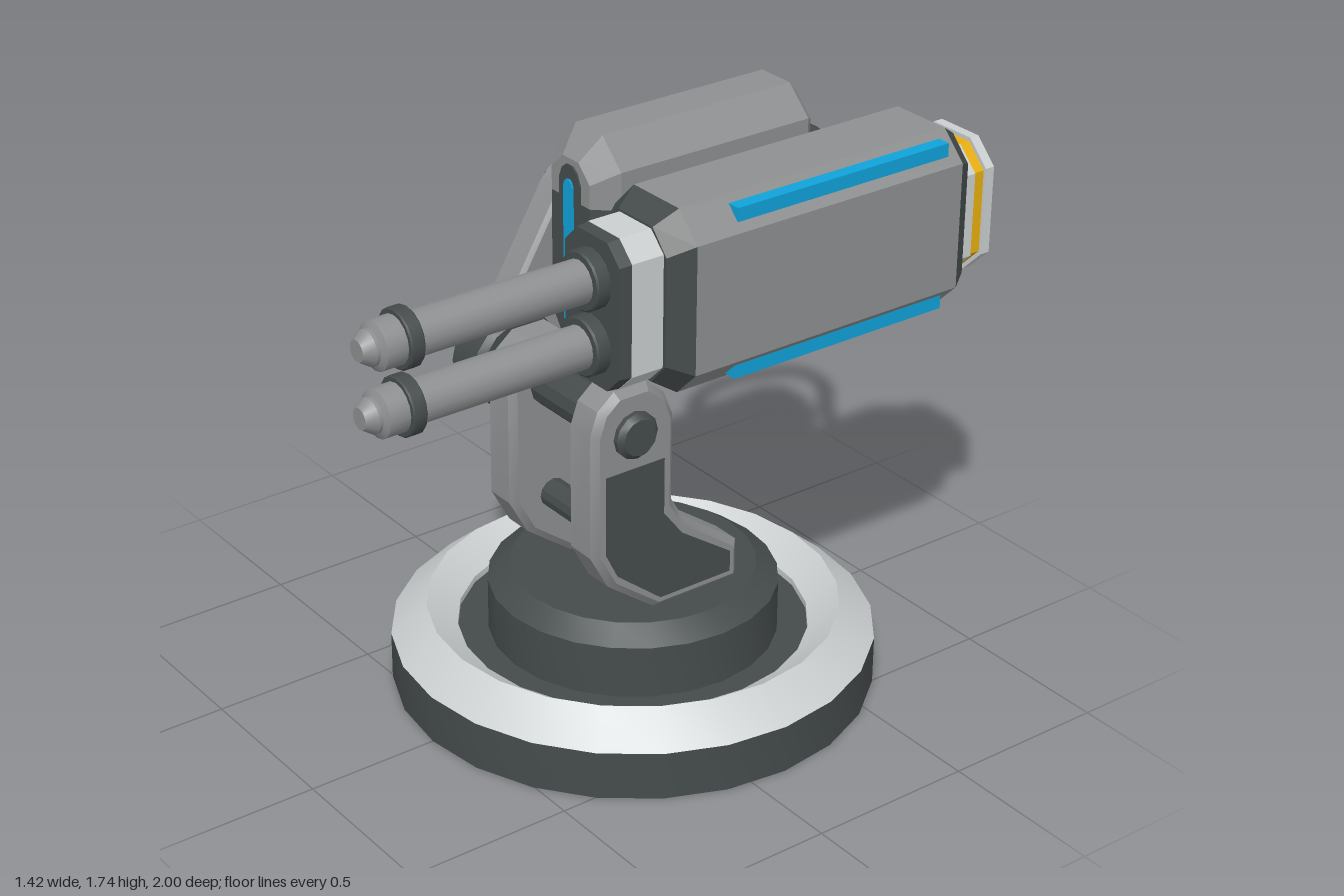
import * as THREE from 'three';
import { toCreasedNormals } from 'three/addons/utils/BufferGeometryUtils.js';

const mat = (name, color) => Object.assign(new THREE.MeshStandardMaterial({ color }), { name });

export function createModel() {
  const gray = mat('midGray', 0x8d8f90);
  const dark = mat('darkGray', 0x454b4b);
  const light = mat('lightGray', 0xcbcfd0);
  const blue = mat('blue', 0x10a2da);
  const yellow = mat('yellow', 0xf6ba10);
  const deep = mat('deepTeal', 0x0c2a2a);
  const model = new THREE.Group();
  model.name = 'turret';

  const add = (name, geo, material, x = 0, y = 0, z = 0) => {
    const m = new THREE.Mesh(geo, material);
    m.name = name;
    m.position.set(x, y, z);
    model.add(m);
    return m;
  };
  const v2 = (pts) => pts.map(([a, b]) => new THREE.Vector2(a, b));
  const lathe = (pts, seg) => toCreasedNormals(new THREE.LatheGeometry(v2(pts), seg), 0.5);
  // Turned parts: profile points are [radius, position along the axis]
  const turnX = (pts, seg = 16) => lathe(pts, seg).rotateZ(-Math.PI / 2);
  const turnZ = (pts, seg = 16) => lathe(pts, seg).rotateX(Math.PI / 2);
  const rod = (r, a, b, c = 0.012) => [[0, a], [r - c, a], [r, a + c], [r, b - c], [r - c, b], [0, b]];
  const box = (w, h, d) => new THREE.BoxGeometry(w, h, d);

  // Plate with a (z, y) outline, thickness along x, centred on x = 0
  const plate = (pts, width, bevel = 0) => {
    const geo = new THREE.ExtrudeGeometry(new THREE.Shape(v2(pts)), {
      depth: width - 2 * bevel, bevelEnabled: bevel > 0, bevelSegments: 1,
      bevelSize: bevel, bevelThickness: bevel, bevelOffset: -bevel,
    });
    geo.translate(0, 0, -(width - 2 * bevel) / 2).rotateY(-Math.PI / 2);
    return toCreasedNormals(geo, 0.4);
  };

  // Octagon outline, counter-clockwise
  const octagon = (w, h, c) => [
    [w, c - h], [w, h - c], [w - c, h], [c - w, h],
    [-w, h - c], [-w, c - h], [c - w, -h], [w - c, -h]];

  // Convex outline swept through sections [z, scaleX, scaleY], with end caps
  const loft = (outline, sections) => {
    const pos = [];
    const P = (i, s) => {
      const [x, y] = outline[i % outline.length];
      return [x * s[1], y * s[2], s[0]];
    };
    const n = outline.length;
    const first = sections[0], last = sections[sections.length - 1];
    for (let k = 0; k + 1 < sections.length; k++) {
      const s = sections[k], t = sections[k + 1];
      for (let i = 0; i < n; i++) {
        pos.push(...P(i, s), ...P(i + 1, s), ...P(i + 1, t), ...P(i, s), ...P(i + 1, t), ...P(i, t));
      }
    }
    for (let i = 1; i + 1 < n; i++) {
      pos.push(...P(0, last), ...P(i, last), ...P(i + 1, last));
      pos.push(...P(0, first), ...P(i + 1, first), ...P(i, first));
    }
    const geo = new THREE.BufferGeometry();
    geo.setAttribute('position', new THREE.Float32BufferAttribute(pos, 3));
    geo.computeVertexNormals();
    return geo;
  };

  // Base: dark drum with a deep-coloured underside, light rim, sunken floor and pedestal
  const baseZ = -0.11;
  add('baseUnderside', lathe([[0, 0], [0.71, 0]], 24), deep, 0, 0, baseZ);
  add('baseDrum', lathe([[0.71, 0], [0.71, 0.147]], 24), dark, 0, 0, baseZ);
  add('baseRim', lathe([[0.71, 0.147], [0.605, 0.235], [0.515, 0.17], [0.515, 0.14]], 24), light, 0, 0, baseZ);
  add('pedestal', lathe([[0.53, 0.15], [0.425, 0.15], [0.425, 0.31], [0.36, 0.355], [0, 0.355]], 24), dark, 0, 0, baseZ);

  // Pair of upright brackets with dark side panels
  const bracket = [[0, 0.35], [0.16, 0.47], [0.22, 0.58], [0.22, 0.96], [0.195, 1.03], [0.14, 1.075],
    [0.03, 1.075], [-0.03, 1.025], [-0.06, 0.95], [-0.06, 0.68], [-0.1, 0.61], [-0.295, 0.47], [-0.295, 0.35]];
  const panel = [[0.18, 0.83], [-0.02, 0.83], [-0.02, 0.655], [-0.085, 0.57], [-0.26, 0.45],
    [-0.26, 0.385], [-0.01, 0.385], [0.14, 0.505], [0.18, 0.585]];
  for (const side of [-1, 1]) {
    add('bracket', plate(bracket, 0.13, 0.02), gray, side * 0.195);
    add('bracketPanel', plate(panel, 0.006), dark, side * 0.259);
  }

  // Pivot pin and lower cross bar
  add('pivotPin', turnX(rod(0.07, -0.45, 0.29, 0.015), 12), dark, 0, 0.938, 0.085);
  add('crossBar', turnX(rod(0.045, -0.15, 0.15), 12), dark, 0, 0.58, 0.08);

  // Slanted link: rounded outline placed along the line from pivot to shoulder
  const [dz, dy] = [-0.522, 0.853];
  const arc = (u, r, from) => Array.from({ length: 11 }, (_, i) => {
    const a = from + (Math.PI * i) / 10;
    const p = u + r * Math.cos(a), q = r * Math.sin(a);
    return [0.085 + p * dz - q * dy, 0.938 + p * dy + q * dz];
  });
  add('linkArm', plate([...arc(0.498, 0.122, -Math.PI / 2), ...arc(0, 0.115, Math.PI / 2)], 0.105, 0.012), gray, -0.35);
  add('linkHousing', turnX(rod(0.148, -0.425, -0.28, 0.018), 14), dark, 0, 0.938, 0.085);

  // Shoulder joint
  add('shoulderPin', turnX(rod(0.095, -0.435, -0.15, 0.015)), dark, 0, 1.365, -0.175);
  add('shoulderDisc', turnX(rod(0.135, -0.205, -0.14, 0.015)), gray, 0, 1.365, -0.175);

  // Control body: gray cap above, dark housing below
  const capOutline = [[0.145, 0], [0.145, 0.11], [0.06, 0.19], [-0.06, 0.19], [-0.145, 0.11], [-0.145, 0]];
  const tubOutline = [[-0.145, 0], [-0.145, -0.41], [-0.065, -0.49], [0.065, -0.49], [0.145, -0.41], [0.145, 0]];
  const bodySections = (front, rear) => [[-0.632, 0.8, rear], [-0.6, 1, 1], [0.045, 1, 1], [0.107, 0.6, front]];
  add('bodyCap', loft(capOutline, bodySections(0.62, 0.85)), gray, 0, 1.55);
  add('bodyHousing', loft(tubOutline, bodySections(0.86, 0.94)), dark, 0, 1.55);
  const stripe = (w, top, bottom) => [[w, bottom], [w, top - w], [w * 0.7, top - w * 0.3], [w * 0.3, top],
    [-w * 0.3, top], [-w * 0.7, top - w * 0.3], [-w, top - w], [-w, bottom]];
  add('lampSurround', loft(stripe(0.047, 1.65, 1.17), [[0.104, 1, 1], [0.112, 1, 1]]), dark);
  add('lampStripe', loft(stripe(0.021, 1.61, 1.19), [[0.11, 1, 1], [0.117, 1, 1]]), blue);
  add('coupling', box(0.04, 0.1, 0.2), dark, 0.15, 1.41, -0.2);

  // Gun casing
  const gx = 0.33, gy = 1.398;
  const casing = octagon(0.177, 0.267, 0.08);
  const collar = octagon(0.123, 0.218, 0.055);
  add('gunCasing', loft(casing, [[-0.85, 1, 1], [0.07, 1, 1]]), gray, gx, gy);
  add('gunFrontBevel', loft(casing, [[0.07, 1, 1], [0.138, 0.76, 0.84]]), dark, gx, gy);
  add('gunRearBevel', loft(casing, [[-0.897, 0.84, 0.88], [-0.85, 1, 1]]), dark, gx, gy);
  add('gunCollar', loft(collar, [[0.13, 1, 1], [0.24, 1, 1]]), light, gx, gy);
  add('gunFrontPlate', loft(collar, [[0.24, 0.995, 0.995], [0.278, 0.97, 0.98]]), dark, gx, gy);
  for (const y of [1.627, 1.169]) add('gunLightStrip', box(0.04, 0.04, 0.735), blue, 0.465, y, -0.447);

  // Twin barrels
  for (const y of [1.49, 1.3]) {
    add('barrel', turnZ(rod(0.062, 0.25, 0.87)), gray, gx, y);
    add('barrelRoot', turnZ(rod(0.085, 0.265, 0.32, 0.005)), dark, gx, y);
    add('barrelRing', turnZ(rod(0.083, 0.847, 0.889, 0.004)), dark, gx, y);
    add('muzzle', turnZ([[0.068, 0.88], [0.068, 0.95], [0.05, 0.96], [0.05, 0.97], [0.03, 1], [0, 1]]), gray, gx, y);
  }

  // Rear vent: neck, yellow band, light frame, dark recess and slats
  const frameShape = new THREE.Shape(v2(octagon(0.145, 0.2, 0.07)));
  frameShape.holes.push(new THREE.Path(v2(octagon(0.105, 0.16, 0.05))));
  const frame = new THREE.ExtrudeGeometry(frameShape, { depth: 0.03, bevelEnabled: false });
  add('ventNeck', loft(octagon(0.143, 0.19, 0.065), [[-0.932, 1, 1], [-0.89, 1, 1]]), light, gx, gy);
  add('ventBand', loft(octagon(0.136, 0.188, 0.065), [[-0.972, 1, 1], [-0.93, 1, 1]]), yellow, gx, gy);
  add('ventFrame', frame, light, gx, gy, -1);
  add('ventBack', loft(octagon(0.12, 0.175, 0.055), [[-0.978, 1, 1], [-0.971, 1, 1]]), dark, gx, gy);
  for (let i = -2; i <= 2; i++) add('ventSlat', box(Math.abs(i) === 2 ? 0.15 : 0.2, 0.024, 0.014), gray, gx, gy + i * 0.06, -0.983);
  for (const s of [-1, 1]) add('ventDivider', box(0.014, 0.28, 0.012), dark, gx + s * 0.055, gy, -0.986);

  // Cable looping from the gun to the body, with sockets
  const cy = 1.405;
  const path = [[0.16, -0.74], [0.09, -0.75], [-0.02, -0.8], [-0.18, -0.92], [-0.29, -0.925],
    [-0.37, -0.82], [-0.4, -0.63], [-0.34, -0.48], [-0.23, -0.415], [-0.14, -0.405]];
  const curve = new THREE.CatmullRomCurve3(path.map(([x, z]) => new THREE.Vector3(x, cy, z)));
  add('cable', new THREE.TubeGeometry(curve, 30, 0.03, 8), dark);
  add('gunSocket', turnX(rod(0.057, 0.118, 0.17), 12), dark, 0, cy, -0.74);
  add('bodySocket', turnX(rod(0.057, -0.182, -0.135), 12), dark, 0, cy, -0.405);

  return model;
}
